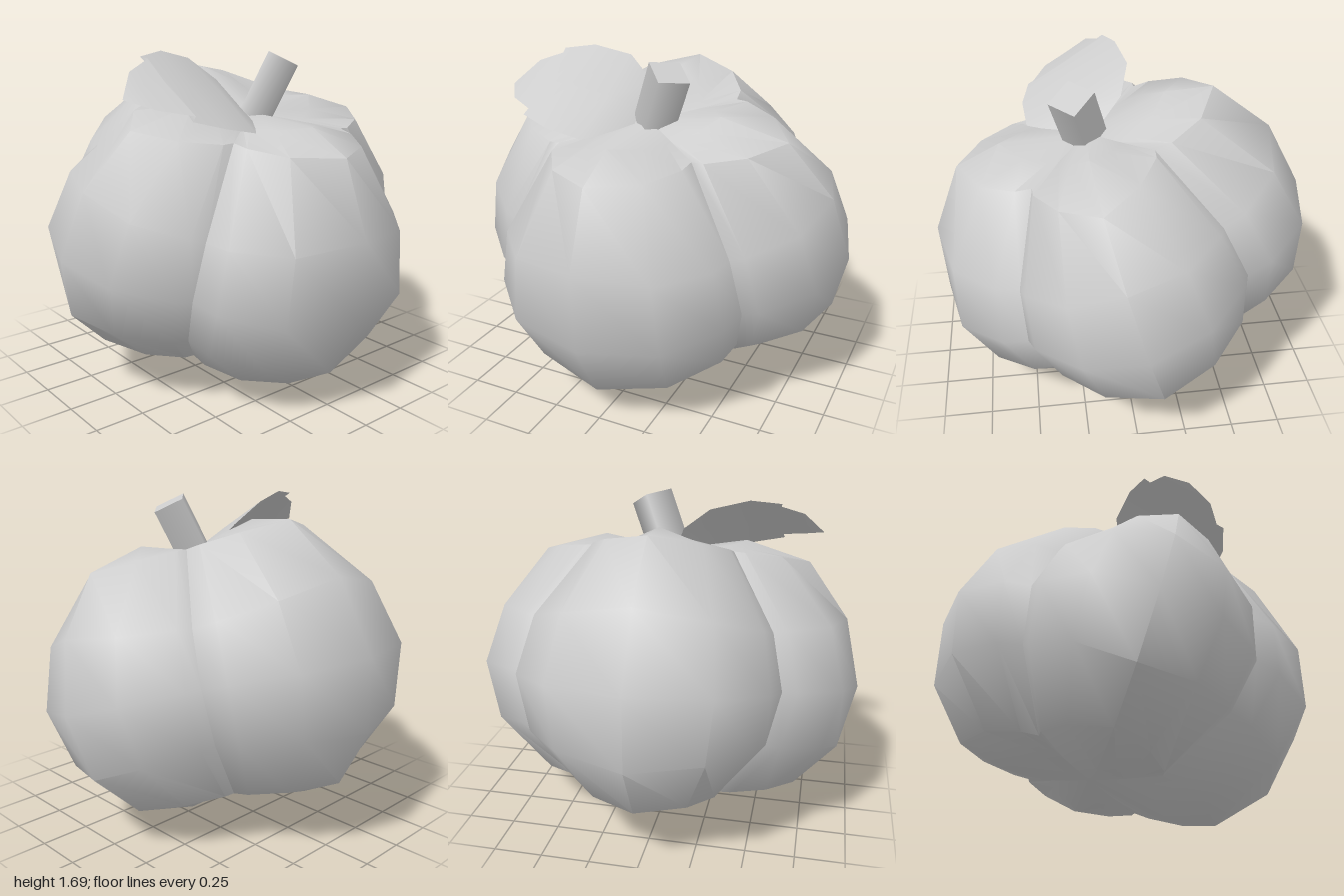
import * as THREE from 'three';
import { toCreasedNormals } from 'three/addons/utils/BufferGeometryUtils.js';

const grey = new THREE.MeshStandardMaterial({ color: 0xcccccc });
grey.name = 'plainGrey';
const leafGrey = new THREE.MeshStandardMaterial({ color: 0xcccccc, side: THREE.DoubleSide });
leafGrey.name = 'leafGrey';

// Half of each lobe's widest ring, from its middle to the crease: [across, out].
// The rings give [scale, height] along the middle of the lobe, top to bottom.
const FRONT = {
  outline: [[0, 0.985], [0.38, 0.896], [0.60, 0.673], [0.64, 0.545]],
  rings: [[0, 0.61], [0.432, 0.70], [0.675, 0.65], [0.91, 0.34], [1, -0.04],
    [0.914, -0.387], [0.678, -0.635], [0.434, -0.69], [0, -0.61]],
};
const SIDE = {
  outline: [[0, 1], [0.30, 0.92], [0.515, 0.71], [0.545, 0.64]],
  rings: [[0, 0.61], [0.38, 0.675], [0.71, 0.58], [0.92, 0.30], [1, -0.045],
    [0.92, -0.37], [0.71, -0.587], [0.38, -0.675], [0, -0.61]],
};
// The same along the creases between lobes
const CREASE = [[0, 0.61], [0.28, 0.605], [0.545, 0.606], [0.905, 0.24], [1, -0.023],
  [0.905, -0.29], [0.55, -0.595], [0.28, -0.605], [0, -0.61]];
// How far each column has moved from the lobe's middle to its crease
const BLEND = [0, 0.5, 0.85, 1];

// Body of four lobes in one closed skin, tilted so its top leans forward
function makeBody() {
  const points = [];
  const index = [];
  const columns = 24;
  const lerp = THREE.MathUtils.lerp;
  CREASE.forEach(([creaseScale, creaseHeight], r) => {
    for (let face = 0; face < 4; face++) {
      const shape = face % 2 ? SIDE : FRONT;
      const sin = [0, 1, 0, -1][face];
      const cos = [1, 0, -1, 0][face];
      const [midScale, midHeight] = shape.rings[r];
      for (let j = -3; j < 3; j++) {
        const k = Math.abs(j);
        const scale = lerp(midScale, creaseScale, BLEND[k]);
        const across = Math.sign(j) * shape.outline[k][0] * scale;
        const out = shape.outline[k][1] * scale;
        points.push(out * sin + across * cos, lerp(midHeight, creaseHeight, BLEND[k]),
          out * cos - across * sin);
      }
    }
  });
  const last = CREASE.length - 2;
  for (let r = 0; r <= last; r++) {
    for (let c = 0; c < columns; c++) {
      const a = r * columns + c;
      const d = r * columns + (c + 1) % columns;
      if (r < last) index.push(a, a + columns, d + columns);
      if (r > 0) index.push(a, d + columns, d);
    }
  }
  const geo = new THREE.BufferGeometry();
  geo.setAttribute('position', new THREE.Float32BufferAttribute(points, 3));
  geo.setIndex(index);
  const mesh = new THREE.Mesh(toCreasedNormals(geo, 0.8), grey);
  mesh.name = 'body';
  mesh.position.y = 0.795;
  mesh.rotation.x = 0.273;
  return mesh;
}

// Four-sided stem leaning to the left and forward
function makeStem() {
  const axis = new THREE.Vector3(0.42, 1, 0.26).normalize();
  const length = 0.36;
  const mesh = new THREE.Mesh(new THREE.CylinderGeometry(0.112, 0.112, length, 4), grey);
  mesh.name = 'stem';
  mesh.quaternion.setFromUnitVectors(new THREE.Vector3(0, 1, 0), axis);
  mesh.position.set(0.142, 1.643, 0.24).addScaledVector(axis, -length / 2);
  return mesh;
}

// Arched leaf: each station has a back edge, a midrib and a front edge point
function makeLeaf() {
  const stations = [
    [[-0.02, 1.40, 0.10], [-0.01, 1.38, 0.12], [-0.03, 1.37, 0.14]],
    [[-0.08, 1.535, -0.02], [-0.10, 1.44, 0.15], [-0.09, 1.35, 0.29]],
    [[-0.22, 1.647, -0.07], [-0.21, 1.49, 0.19], [-0.22, 1.33, 0.455]],
    [[-0.41, 1.69, -0.03], [-0.41, 1.53, 0.22], [-0.41, 1.37, 0.47]],
    [[-0.56, 1.67, 0.02], [-0.53, 1.54, 0.225], [-0.56, 1.41, 0.43]],
    [[-0.53, 1.66, 0.04], [-0.54, 1.54, 0.225], [-0.53, 1.43, 0.41]],
    [[-0.67, 1.61, 0.10], [-0.67, 1.535, 0.215], [-0.68, 1.46, 0.33]],
    [[-0.77, 1.50, 0.20], [-0.77, 1.50, 0.20], [-0.77, 1.50, 0.20]],
  ];
  const index = [];
  for (let i = 0; i < stations.length - 1; i++) {
    for (let j = 0; j < 2; j++) {
      const a = i * 3 + j, b = a + 3;
      index.push(a, b, b + 1, a, b + 1, a + 1);
    }
  }
  const geo = new THREE.BufferGeometry();
  geo.setAttribute('position', new THREE.Float32BufferAttribute(stations.flat(2), 3));
  geo.setIndex(index);
  geo.computeVertexNormals();
  const mesh = new THREE.Mesh(geo, leafGrey);
  mesh.name = 'leaf';
  return mesh;
}

export function createModel() {
  const model = new THREE.Group();
  model.name = 'pumpkin';
  model.add(makeBody(), makeStem(), makeLeaf());
  return model;
}
